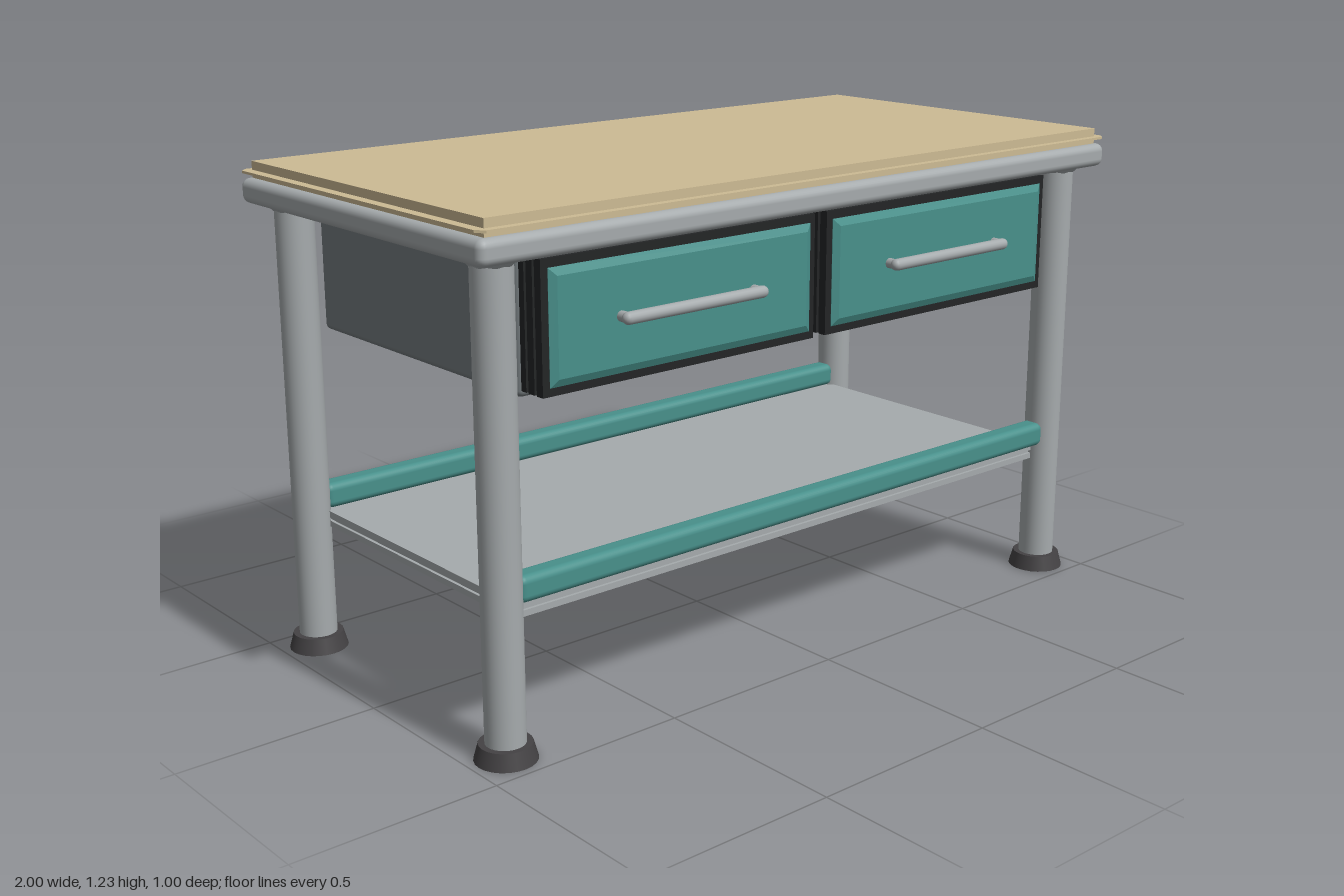
import * as THREE from 'three';
import { RoundedBoxGeometry } from 'three/addons/geometries/RoundedBoxGeometry.js';

const material = (name, color) => {
  const m = new THREE.MeshStandardMaterial({ color });
  m.name = name;
  return m;
};

export function createModel() {
  const root = new THREE.Group();
  root.name = 'workbench';
  const wood = material('wood', 0xcdbb94);
  const steel = material('light steel', 0xa6abad);
  const cabinetGrey = material('cabinet grey', 0x757c7f);
  const teal = material('teal', 0x48908b);
  const black = material('black trim', 0x232526);
  const rubber = material('foot rubber', 0x444244);

  function add(name, geometry, mat, x = 0, y = 0, z = 0, parent = root) {
    const mesh = new THREE.Mesh(geometry, mat);
    mesh.name = name;
    mesh.position.set(x, y, z);
    parent.add(mesh);
    return mesh;
  }
  const box = (w, h, d) => new THREE.BoxGeometry(w, h, d);
  const rounded = (w, h, d, r) => new RoundedBoxGeometry(w, h, d, 3, r);

  // A rectangle or chamfered plate lying flat, extruded upward from y = 0
  function plate(w, d, h, c) {
    const x = w / 2, z = d / 2;
    const shape = new THREE.Shape([
      [-x + c, -z], [x - c, -z], [x, -z + c], [x, z - c],
      [x - c, z], [-x + c, z], [-x, z - c], [-x, -z + c],
    ].map(([a, b]) => new THREE.Vector2(a, b)));
    return new THREE.ExtrudeGeometry(shape, { depth: h, bevelEnabled: false }).rotateX(-Math.PI / 2);
  }

  // Worktop: slab with a thin projecting lip
  add('worktop', box(1.95, 0.04, 0.96), wood, 0, 1.21, 0);
  add('worktopLip', plate(2, 1, 0.006, 0.018), wood, 0, 1.203, 0);

  // Rounded frame below the worktop
  for (const s of [-1, 1]) {
    add('frameLongRail', rounded(2, 0.06, 0.08, 0.02), steel, 0, 1.16, s * 0.46);
    add('frameShortRail', rounded(0.08, 0.06, 1, 0.02), steel, s * 0.96, 1.16, 0);
  }

  // Legs with flared sockets and rubber feet
  for (const sx of [-1, 1]) {
    for (const sz of [-1, 1]) {
      const leg = new THREE.Group();
      leg.name = 'leg';
      leg.position.set(sx * 0.91, 0, sz * 0.408);
      root.add(leg);
      add('legPost', new THREE.CylinderGeometry(0.047, 0.047, 1.13, 32), steel, 0, 0.6, 0, leg);
      add('legSocket', new THREE.CylinderGeometry(0.065, 0.049, 0.017, 8).rotateY(Math.PI / 8), steel, 0, 1.124, 0, leg);
      add('cornerBracket', plate(0.125, 0.125, 0.05, 0.025), steel, 0, 1.132, 0, leg);
      add('foot', new THREE.CylinderGeometry(0.062, 0.073, 0.04, 24), rubber, 0, 0.02, 0, leg);
    }
  }

  // Drawer cabinet
  add('cabinet', rounded(1.645, 0.325, 0.82, 0.015), cabinetGrey, 0, 0.9645, -0.04);

  // Teal front with a bevelled raised face
  function drawerFace() {
    const w = 0.3625, h = 0.1125;
    const shape = new THREE.Shape([
      new THREE.Vector2(-w, -h), new THREE.Vector2(w, -h),
      new THREE.Vector2(w, h), new THREE.Vector2(-w, h),
    ]);
    return new THREE.ExtrudeGeometry(shape, {
      depth: 0.001, bevelThickness: 0.009, bevelSize: 0.018, bevelSegments: 1,
    });
  }

  for (const s of [-1, 1]) {
    const drawer = new THREE.Group();
    drawer.name = 'drawer';
    drawer.position.set(s * 0.417, 0.968, 0);
    root.add(drawer);
    // Grooved black surround
    for (const z of [0.375, 0.405, 0.435]) {
      add('drawerSurround', box(0.795, 0.3, 0.022), black, 0, 0, z, drawer);
    }
    add('drawerCore', box(0.775, 0.28, 0.08), black, 0, 0, 0.4, drawer);
    add('drawerFront', drawerFace(), teal, 0, 0, 0.448, drawer);
    // Bar handle on two posts
    add('handleBar', new THREE.CapsuleGeometry(0.0145, 0.391, 4, 16).rotateZ(Math.PI / 2), steel, 0, 0, 0.485, drawer);
    for (const p of [-1, 1]) {
      add('handlePost', new THREE.CylinderGeometry(0.0125, 0.0125, 0.035, 16).rotateX(Math.PI / 2), steel, p * 0.193, 0, 0.469, drawer);
    }
  }

  // Lower shelf with a stepped edge
  add('shelfTop', box(1.76, 0.017, 0.82), steel, 0, 0.352, 0);
  add('shelfGroove', box(1.745, 0.01, 0.805), steel, 0, 0.34, 0);
  add('shelfBase', box(1.76, 0.015, 0.82), steel, 0, 0.3285, 0);

  // Teal rails along the front and back of the shelf
  for (const s of [-1, 1]) {
    add('shelfRail', rounded(1.76, 0.064, 0.06, 0.018), teal, 0, 0.393, s * 0.408);
  }

  return root;
}
